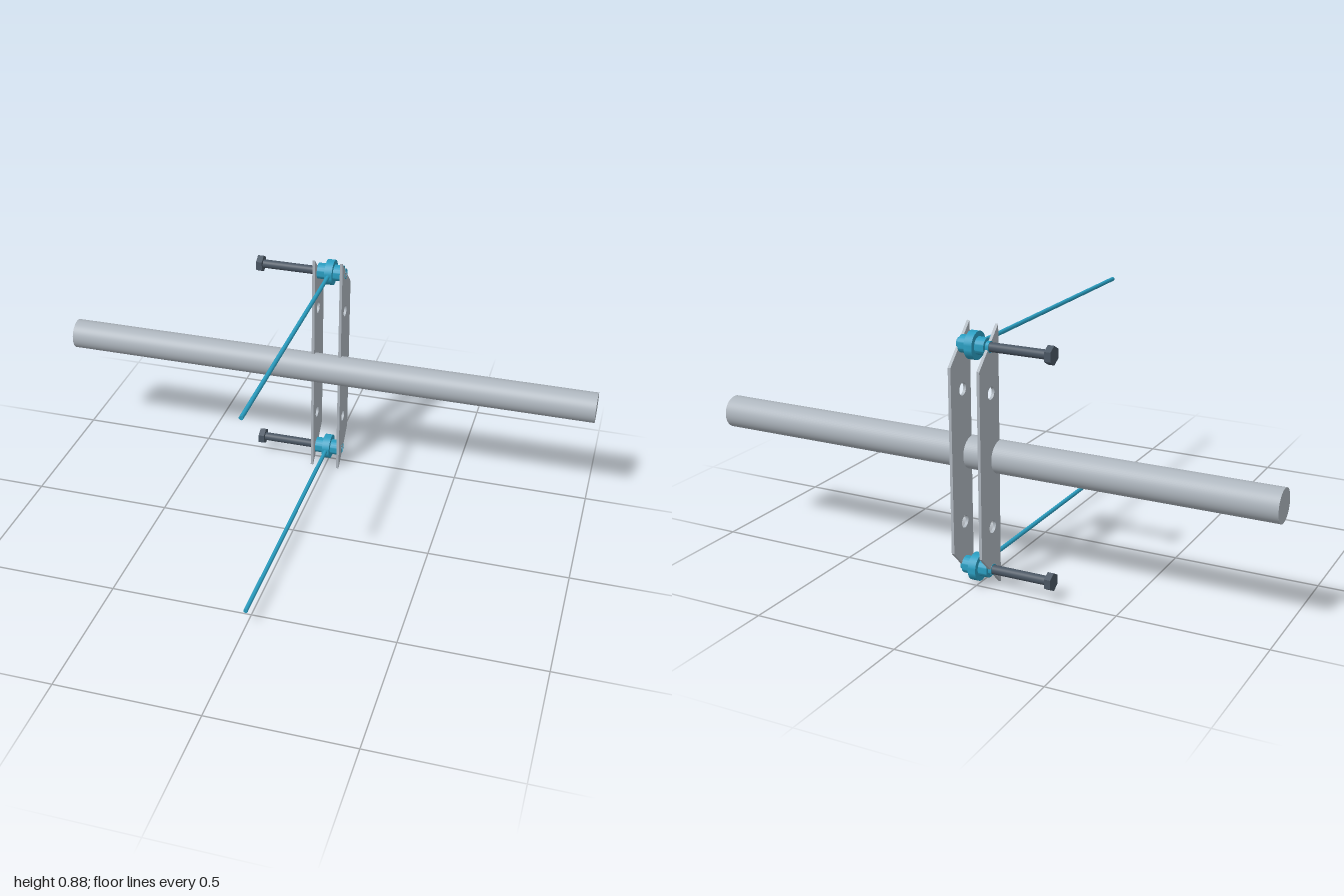
import * as THREE from 'three';
import { toCreasedNormals } from 'three/addons/utils/BufferGeometryUtils.js';

const material = (name, color) => {
  const m = new THREE.MeshStandardMaterial({ color });
  m.name = name;
  return m;
};

export function createModel() {
  const steel = material('light grey steel', 0xadb5bd);
  const blue = material('blue', 0x2a9dc0);
  const dark = material('dark steel', 0x495562);

  const model = new THREE.Group();
  const add = (parent, name, geometry, mat, x = 0, y = 0, z = 0) => {
    const mesh = new THREE.Mesh(geometry, mat);
    mesh.name = name;
    mesh.position.set(x, y, z);
    parent.add(mesh);
    return mesh;
  };
  // Cylinder lying along x
  const alongX = (radius, length, sides) =>
    new THREE.CylinderGeometry(radius, radius, length, sides).rotateZ(Math.PI / 2);

  const pivotZ = -0.487;
  const pivotYs = [0.0635, 0.8125];

  // Long cross bar
  add(model, 'crossBar', alongX(0.055, 2, 64), steel, 0, 0.4375, -0.4365);

  // Pair of side plates with clipped corners and drilled holes, drawn in z and y
  const outline = new THREE.Shape([
    [-0.56, 0.125], [-0.436, 0], [-0.436, 0.875], [-0.56, 0.75],
  ].map(([z, y]) => new THREE.Vector2(z, y)));
  const drill = (y, radius) => {
    const hole = new THREE.Path();
    hole.absarc(pivotZ, y, radius, 0, Math.PI * 2, true);
    outline.holes.push(hole);
  };
  [0.213, 0.663].forEach((y) => drill(y, 0.021));
  pivotYs.forEach((y) => drill(y, 0.019));
  const plate = new THREE.ExtrudeGeometry(outline, {
    depth: 0.01, bevelEnabled: false, curveSegments: 16,
  }).rotateY(-Math.PI / 2).translate(0.005, 0, 0);
  add(model, 'leftPlate', plate, steel, 0.051);
  add(model, 'rightPlate', plate, steel, -0.051);

  // Hollow stepped spool: closed profile of radius and distance along the axis
  const profile = [
    [0.0155, -0.057], [0.0185, -0.057], [0.0185, -0.046], [0.029, -0.046],
    [0.029, -0.014], [0.046, -0.014], [0.046, 0.014], [0.029, 0.014],
    [0.029, 0.046], [0.0185, 0.046], [0.0185, 0.057], [0.0155, 0.057],
    [0.0155, -0.057],
  ].map(([r, a]) => new THREE.Vector2(r, a));
  const spool = toCreasedNormals(
    new THREE.LatheGeometry(profile, 40).rotateZ(Math.PI / 2), 0.6);

  const rodFront = 0.56;
  const rodBack = -0.487;
  const rod = new THREE.CylinderGeometry(0.0075, 0.0075, rodFront - rodBack, 20)
    .rotateX(Math.PI / 2);
  const shaft = alongX(0.0155, 0.205, 28);
  const head = new THREE.CylinderGeometry(0.031, 0.031, 0.022, 6)
    .rotateY(Math.PI / 6).rotateZ(Math.PI / 2);
  const flatHead = toCreasedNormals(head, 0.3);

  // Spool, rod and withdrawn bolt at each end of the plates
  pivotYs.forEach((y, i) => {
    const end = new THREE.Group();
    end.name = i ? 'upperPivot' : 'lowerPivot';
    end.position.set(0, y, 0);
    model.add(end);
    add(end, 'spool', spool, blue, 0, 0, pivotZ);
    add(end, 'rod', rod, blue, 0, 0, (rodFront + rodBack) / 2);
    add(end, 'boltShaft', shaft, dark, -0.1575, 0, pivotZ);
    add(end, 'boltHead', flatHead, dark, -0.265, 0, pivotZ);
  });

  return model;
}
